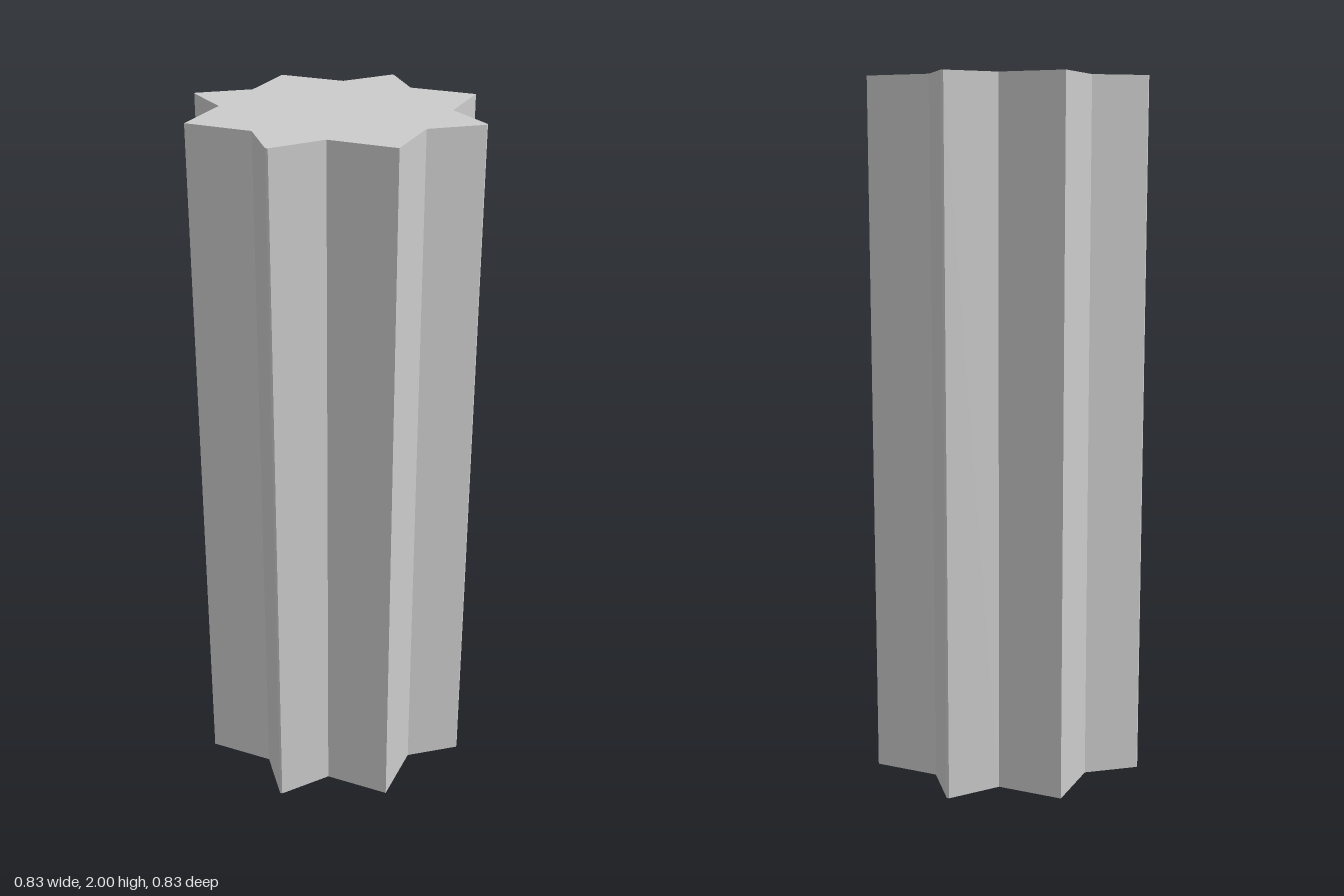
import * as THREE from 'three';

// One quarter of the star outline: tip, valley, blunted diagonal tip, valley
const QUARTER = [[0.414, 0], [0.279, 0.135], [0.299, 0.294], [0.294, 0.299], [0.135, 0.279]];
const HEIGHT = 2;

// Repeat the quarter four times around the centre
function starShape() {
  const points = [];
  for (let i = 0; i < 4; i++) {
    for (const [x, y] of QUARTER) {
      points.push(new THREE.Vector2(x, y).rotateAround(new THREE.Vector2(), i * Math.PI / 2));
    }
  }
  return new THREE.Shape(points);
}

export function createModel() {
  const group = new THREE.Group();
  group.name = 'starPrism';

  // Eight-pointed column, extruded and stood upright on y = 0
  const geometry = new THREE.ExtrudeGeometry(starShape(), { depth: HEIGHT, bevelEnabled: false });
  geometry.rotateX(-Math.PI / 2);
  const column = new THREE.Mesh(
    geometry,
    new THREE.MeshStandardMaterial({ color: 0xcccccc, flatShading: true })
  );
  column.name = 'starColumn';
  group.add(column);
  return group;
}
